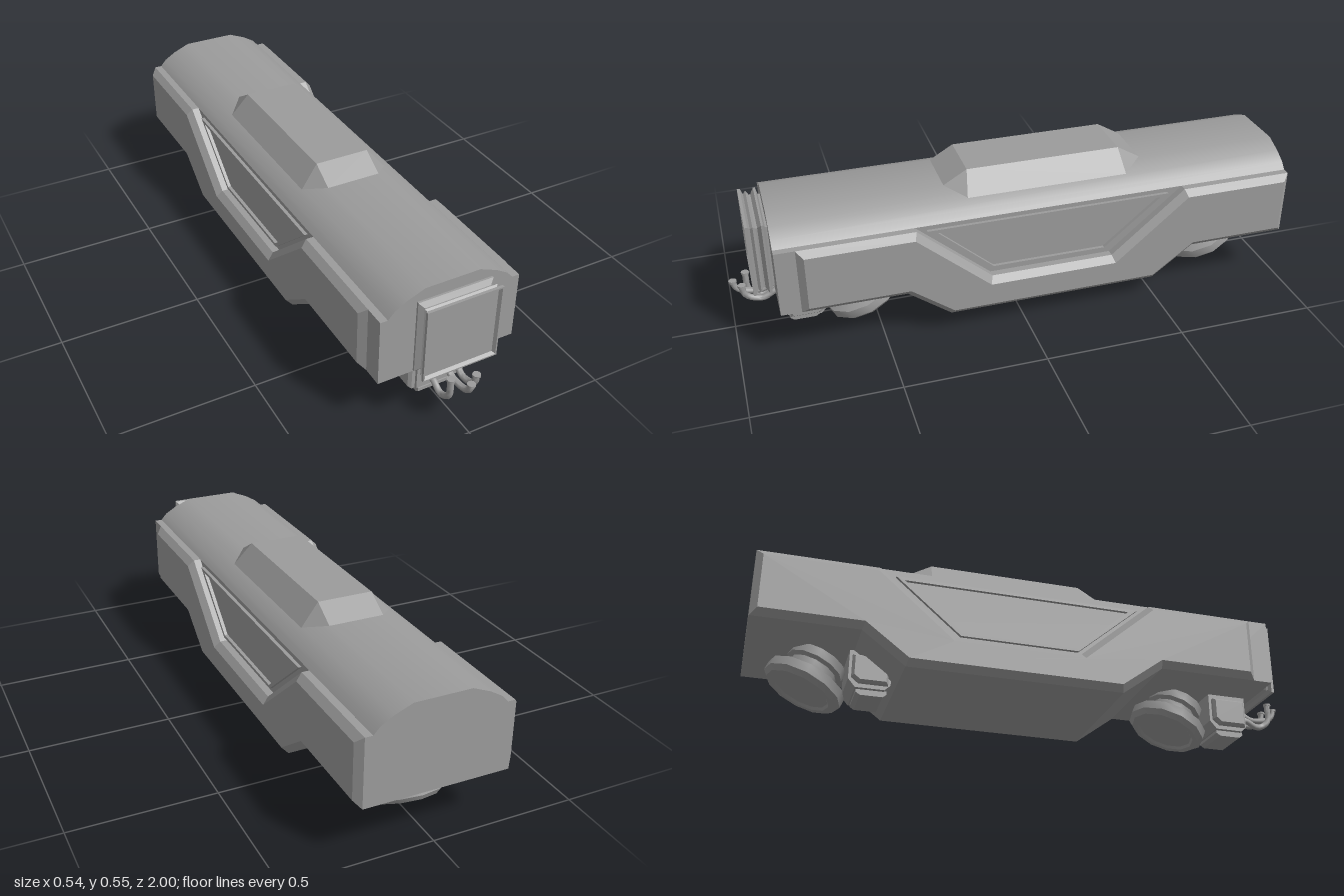
import * as THREE from 'three';
import { toCreasedNormals } from 'three/addons/utils/BufferGeometryUtils.js';
import { ConvexGeometry } from 'three/addons/geometries/ConvexGeometry.js';

const grey = new THREE.MeshStandardMaterial({ color: 0x9c9c9c });
grey.name = 'hull grey';

function add(parent, name, geometry, crease = 0.1) {
  const mesh = new THREE.Mesh(toCreasedNormals(geometry, crease), grey);
  mesh.name = name;
  parent.add(mesh);
  return mesh;
}

function box(parent, name, w, y0, y1, z0, z1) {
  const g = new THREE.BoxGeometry(w, y1 - y0, z1 - z0);
  g.translate(0, (y0 + y1) / 2, (z0 + z1) / 2);
  return add(parent, name, g);
}

// Side outline given as [z, y], extruded symmetrically across x
const sidePoints = (pts) => pts.map(([z, y]) => new THREE.Vector2(-z, y));
function acrossX(pts, halfWidth, bevel = 0, bevelDepth = 0, hole = null) {
  const shape = new THREE.Shape(sidePoints(pts));
  if (hole) shape.holes.push(new THREE.Path(sidePoints(hole)));
  const depth = 2 * (halfWidth - bevelDepth);
  const g = new THREE.ExtrudeGeometry(shape, {
    depth, bevelEnabled: bevel > 0, bevelSize: bevel, bevelOffset: -bevel,
    bevelThickness: bevelDepth, bevelSegments: 1,
  });
  g.translate(0, 0, -depth / 2);
  g.rotateY(Math.PI / 2);
  return g;
}

// Running gear: coupler box, tilted round pad and hoses
function createGear() {
  const gear = new THREE.Group();
  add(gear, 'couplerBox', acrossX(
    [[0.82, 0.21], [0.82, 0.085], [0.8, 0.066], [0.7, 0.066], [0.675, 0.095], [0.675, 0.21]], 0.085));
  add(gear, 'couplerCheeks', acrossX(
    [[0.81, 0.18], [0.81, 0.08], [0.71, 0.08], [0.685, 0.1], [0.685, 0.18]], 0.107, 0.008, 0.01));
  add(gear, 'couplerFoot', acrossX(
    [[0.81, 0.068], [0.81, 0.056], [0.797, 0.046], [0.72, 0.046], [0.705, 0.056], [0.705, 0.068]], 0.07));

  const padProfile = [
    [0, 0.008], [0.1, 0.008], [0.108, 0], [0.125, 0], [0.142, 0.016], [0.142, 0.048],
    [0.112, 0.06], [0.086, 0.072], [0.086, 0.096], [0.102, 0.104], [0.102, 0.135], [0, 0.135],
  ].map(([r, y]) => new THREE.Vector2(r, y));
  const pad = add(gear, 'tiltedPad', new THREE.LatheGeometry(padProfile, 12), 0.6);
  pad.position.set(0, 0.06, 0.527);
  pad.rotation.x = 0.4;

  // x, lowest centre line, z of the upturned end
  for (const [x, low, end] of [[-0.043, 0.106, 0.94], [0, 0.152, 0.986], [0.038, 0.142, 0.958]]) {
    const path = new THREE.CatmullRomCurve3([
      [0.81, low + 0.03], [0.85, low + 0.02], [0.89, low], [end - 0.025, low + 0.01],
      [end - 0.004, low + 0.03], [end, 0.202],
    ].map(([z, y]) => new THREE.Vector3(x, y, z)));
    add(gear, 'hose', new THREE.TubeGeometry(path, 16, 0.011, 8), 0.9);
    const cap = new THREE.CylinderGeometry(0.014, 0.014, 0.008, 10);
    cap.translate(x, 0.202, end);
    add(gear, 'hoseCap', cap, 0.7);
  }
  return gear;
}

export function createModel() {
  const model = new THREE.Group();
  model.name = 'railCar';

  // Core with arched roof
  const half = [[0.222, 0.2], [0.222, 0.44], [0.2, 0.464], [0.158, 0.489], [0.097, 0.514]];
  const section = [...half, ...half.map(([x, y]) => [-x, y]).reverse()];
  const core = new THREE.ExtrudeGeometry(
    new THREE.Shape(section.map(([x, y]) => new THREE.Vector2(x, y))),
    { depth: 1.85, bevelEnabled: false });
  core.translate(0, 0, -1);
  add(model, 'roofAndCore', core, 0.5);

  // Chamfered side armour and belly, notched around the window
  add(model, 'sidePanelsAndBelly', acrossX([
    [0.78, 0.44], [0.78, 0.2], [0.42, 0.2], [0.27, 0.088], [-0.49, 0.088], [-0.64, 0.2],
    [-1, 0.2], [-1, 0.44], [-0.59, 0.44], [-0.325, 0.215], [0.12, 0.215], [0.38, 0.44],
  ], 0.27, 0.023, 0.022));
  box(model, 'frontCheeks', 0.496, 0.2, 0.44, 0.6, 0.85);

  // Raised window frames on both sides
  add(model, 'windowFrames', acrossX(
    [[0.34, 0.425], [0.115, 0.232], [-0.305, 0.232], [-0.535, 0.425]], 0.234, 0, 0,
    [[0.305, 0.414], [0.11, 0.243], [-0.3, 0.243], [-0.505, 0.414]]));

  // Roof fairing with sloped ends
  const hump = [];
  for (const s of [-1, 1]) {
    for (const [x, y, z] of [
      [0.097, 0.513, 0.25], [0.097, 0.563, 0.165], [0.162, 0.486, 0.18],
      [0.097, 0.513, -0.475], [0.097, 0.563, -0.39], [0.162, 0.486, -0.4],
    ]) hump.push(new THREE.Vector3(s * x, y, z));
  }
  add(model, 'roofFairing', new ConvexGeometry(hump));

  // Square corrugated gangway on the nose
  const bellows = [
    [0.115, 0.84], [0.115, 0.857], [0.133, 0.863], [0.133, 0.87], [0.117, 0.882], [0.117, 0.888],
    [0.128, 0.897], [0.12, 0.906], [0.134, 0.914], [0.134, 0.924], [0.129, 0.924],
    [0.122, 0.914], [0, 0.914],
  ].map(([r, z]) => new THREE.Vector2(r * Math.SQRT2, z));
  const gangway = new THREE.LatheGeometry(bellows, 4);
  gangway.rotateY(Math.PI / 4);
  gangway.rotateX(Math.PI / 2);
  gangway.translate(0, 0.352, 0);
  add(model, 'gangway', gangway);

  // Front and rear running gear
  for (const [name, z] of [['frontGear', 0], ['rearGear', -1.33]]) {
    const gear = createGear();
    gear.name = name;
    gear.position.z = z;
    model.add(gear);
  }
  return model;
}
